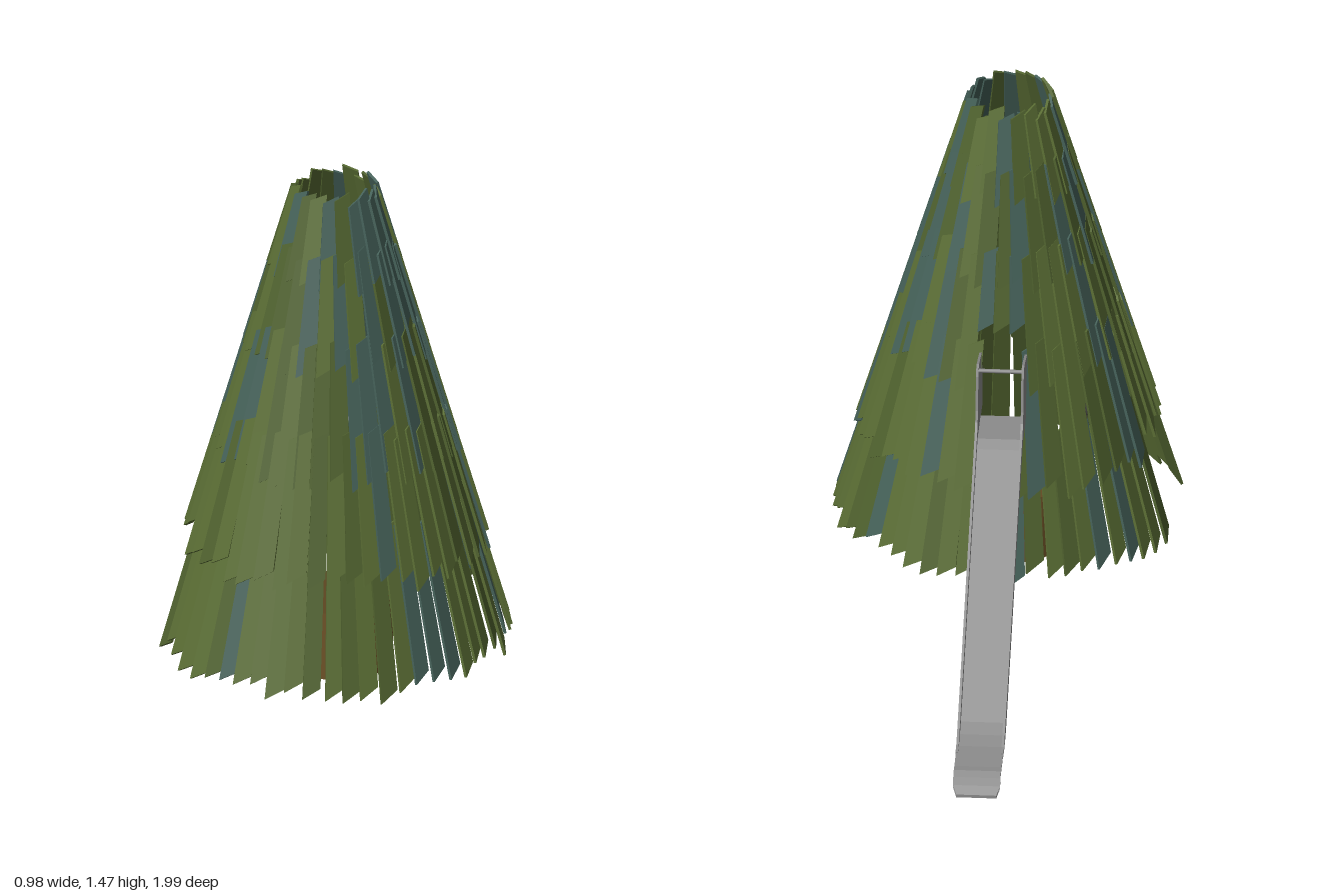
import * as THREE from 'three';
import { mergeGeometries } from 'three/addons/utils/BufferGeometryUtils.js';

const mat = (name, color, side = THREE.FrontSide) => {
  const m = new THREE.MeshStandardMaterial({ color, side });
  m.name = name;
  return m;
};

export function createModel() {
  const green = mat('leaf green', 0x5a6d34);
  const olive = mat('dark leaf green', 0x4f612e);
  const teal = mat('blue green', 0x456159);
  const wood = mat('trunk brown', 0x6e5227, THREE.DoubleSide);
  const steel = mat('slide grey', 0x8c8c8c);
  const dark = mat('rope dark grey', 0x3a3a36);

  const model = new THREE.Group();
  const CX = -0.012, CZ = 0.485, SLOPE = 0.294;
  let seed = 11;
  const rand = () => (seed = (seed * 16807) % 2147483647) / 2147483647;
  const add = (parent, name, geo, material, x = 0, y = 0, z = 0) => {
    const mesh = new THREE.Mesh(geo, material);
    mesh.name = name;
    mesh.position.set(x, y, z);
    parent.add(mesh);
    return mesh;
  };

  // One tapered board with slanted ends, leaning on the cone
  function plank(angle, radius, y0, y1, width) {
    const w = width / 2, t = w * 0.84, len = (y1 - y0) * Math.hypot(1, SLOPE);
    const shape = new THREE.Shape();
    shape.moveTo(-w, 0);
    shape.lineTo(w, Math.min(0.04, w * 1.3));
    shape.lineTo(t, len);
    shape.lineTo(-t, len - Math.min(0.03, t));
    const geo = new THREE.ExtrudeGeometry(shape, { depth: 0.008, bevelEnabled: false });
    geo.rotateY(0.2);
    geo.rotateX(-Math.atan(SLOPE));
    geo.translate(0, y0, radius);
    geo.rotateY(angle);
    return geo;
  }

  // Five overlapping rings of boards; each ring sits a little outside the one below
  const tiers = [
    { y0: 0.13, y1: 0.56, n: 58, blue: 0.14 },
    { y0: 0.39, y1: 0.82, n: 50, blue: 0.18 },
    { y0: 0.68, y1: 1.08, n: 40, blue: 0.45 },
    { y0: 0.97, y1: 1.31, n: 30, blue: 0.5 },
    { y0: 1.2, y1: 1.46, n: 22, blue: 0.35 },
  ];
  const crown = new THREE.Group();
  crown.name = 'crown';
  crown.position.set(CX, 0, CZ);
  model.add(crown);
  tiers.forEach((tier, k) => {
    const sets = [[], [], []];
    for (let i = 0; i < tier.n; i++) {
      const pitch = (Math.PI * 2) / tier.n;
      const angle = (i + (rand() - 0.5) * 0.25) * pitch;
      const jitter = (rand() - 0.5) * 0.05;
      const pick = rand();
      const baseR = 0.485 - SLOPE * (tier.y0 - 0.13) + (k ? 0.014 : 0);
      let y0 = tier.y0 + jitter - (k ? 0 : 0.03 * Math.cos(angle) + 0.01);
      let y1 = tier.y1 + jitter * 0.7;
      const dx = Math.sin(angle) * baseR, dz = Math.cos(angle) * baseR;
      // Doorway on the right side
      if (dx < 0 && Math.abs(dz) < 0.14) {
        if (k === 0) continue;
        if (k === 1) y0 += 0.04;
      }
      // Opening at the back where the slide leaves
      if (dz < 0 && Math.abs(dx) < 0.085) {
        if (k === 1) y1 = 0.6;
        if (k === 2) y0 = 0.84;
      }
      const r = baseR - SLOPE * (y0 - tier.y0);
      const width = pitch * baseR * (0.95 + rand() * 0.1);
      sets[pick < tier.blue ? 2 : pick < tier.blue + 0.3 ? 1 : 0].push(plank(angle, r, y0, y1, width));
    }
    [green, olive, teal].forEach((m, j) => {
      if (sets[j].length) add(crown, `tier ${k + 1} boards, ${m.name}`, mergeGeometries(sets[j]), m);
    });
  });

  // Hollow faceted trunk
  const trunkGeo = new THREE.CylinderGeometry(0.167, 0.167, 0.2, 20, 1, true).toNonIndexed();
  trunkGeo.computeVertexNormals();
  add(model, 'trunk', trunkGeo, wood, -0.014, 0.12, CZ);

  // Rope ladder in the doorway
  const ladder = new THREE.Group();
  ladder.name = 'ropeLadder';
  ladder.position.set(-0.325, 0.03, CZ);
  ladder.rotation.z = -0.23;
  model.add(ladder);
  for (const s of [-1, 1]) {
    add(ladder, 'ladderRope', new THREE.CylinderGeometry(0.003, 0.003, 0.44, 6), dark, 0, 0.22, s * 0.05);
  }
  for (let i = 0; i < 6; i++) {
    const rung = add(ladder, 'ladderRung', new THREE.CylinderGeometry(0.005, 0.005, 0.115, 8), dark, 0, 0.02 + i * 0.08, 0);
    rung.rotation.x = Math.PI / 2;
  }

  // Slide: side profiles as [z, y], extruded across x
  const slide = new THREE.Group();
  slide.name = 'slide';
  slide.position.x = -0.0125;
  model.add(slide);
  function sideExtrude(points, width) {
    const shape = new THREE.Shape(points.map(([z, y]) => new THREE.Vector2(-z, y)));
    const geo = new THREE.ExtrudeGeometry(shape, { depth: width, bevelEnabled: false });
    geo.translate(0, 0, -width / 2);
    geo.rotateY(Math.PI / 2);
    return geo;
  }
  const floorLine = [[0.13, 0.6], [0, 0.6], [-0.03, 0.583], [-0.73, 0.102], [-0.77, 0.084], [-0.82, 0.075], [-0.93, 0.07]];
  const floorTop = floorLine.map(([z, y]) => [z - 0.002, y + 0.009]).reverse();
  add(slide, 'slideFloor', sideExtrude([...floorLine, ...floorTop], 0.133), steel);
  const wall = [
    [0.2, 0.6], [0, 0.6], [-0.03, 0.583], [-0.73, 0.102], [-0.77, 0.084], [-0.82, 0.075], [-0.86, 0.074],
    [-0.86, 0.086], [-0.83, 0.09], [-0.79, 0.112], [-0.02, 0.638], [0, 0.66], [0.012, 0.69],
    [0.032, 0.79], [0.04, 0.808], [0.06, 0.815], [0.2, 0.778],
  ];
  for (const s of [-1, 1]) {
    add(slide, s > 0 ? 'leftWall' : 'rightWall', sideExtrude(wall, 0.007), steel, s * 0.064);
  }
  const bar = add(slide, 'handleBar', new THREE.CylinderGeometry(0.006, 0.006, 0.13, 10), steel, 0, 0.8, 0.05);
  bar.rotation.z = Math.PI / 2;

  // Curled lip at the foot, its corners rounded by narrowing the last rows
  const lip = [[-0.92, 0.07], [-0.95, 0.072], [-0.972, 0.062], [-0.985, 0.042], [-1, 0.02]];
  const lipTop = lip.map(([z, y], i) => [z + (i > 2 ? 0.0 : -0.002), y + 0.009]).reverse();
  const lipGeo = sideExtrude([...lip, ...lipTop], 0.133);
  const p = lipGeo.attributes.position;
  for (let i = 0; i < p.count; i++) {
    if (p.getZ(i) < -0.99) p.setX(i, p.getX(i) * 0.85);
  }
  lipGeo.computeVertexNormals();
  add(slide, 'slideLip', lipGeo, steel);

  // Posts with round foot plates
  const post = (name, x, z, h, r) => {
    add(slide, name, new THREE.CylinderGeometry(r, r, h, 12), steel, x, h / 2, z);
    add(slide, name + 'Foot', new THREE.CylinderGeometry(r * 1.8, r * 1.8, 0.006, 12), steel, x, 0.003, z);
  };
  post('middlePost', 0, -0.26, 0.4, 0.01);
  for (const s of [-1, 1]) post('endPost', s * 0.036, -0.91, 0.07, 0.009);
  add(slide, 'postBracket', new THREE.BoxGeometry(0.1, 0.006, 0.05), steel, 0, 0.064, -0.91);

  return model;
}
